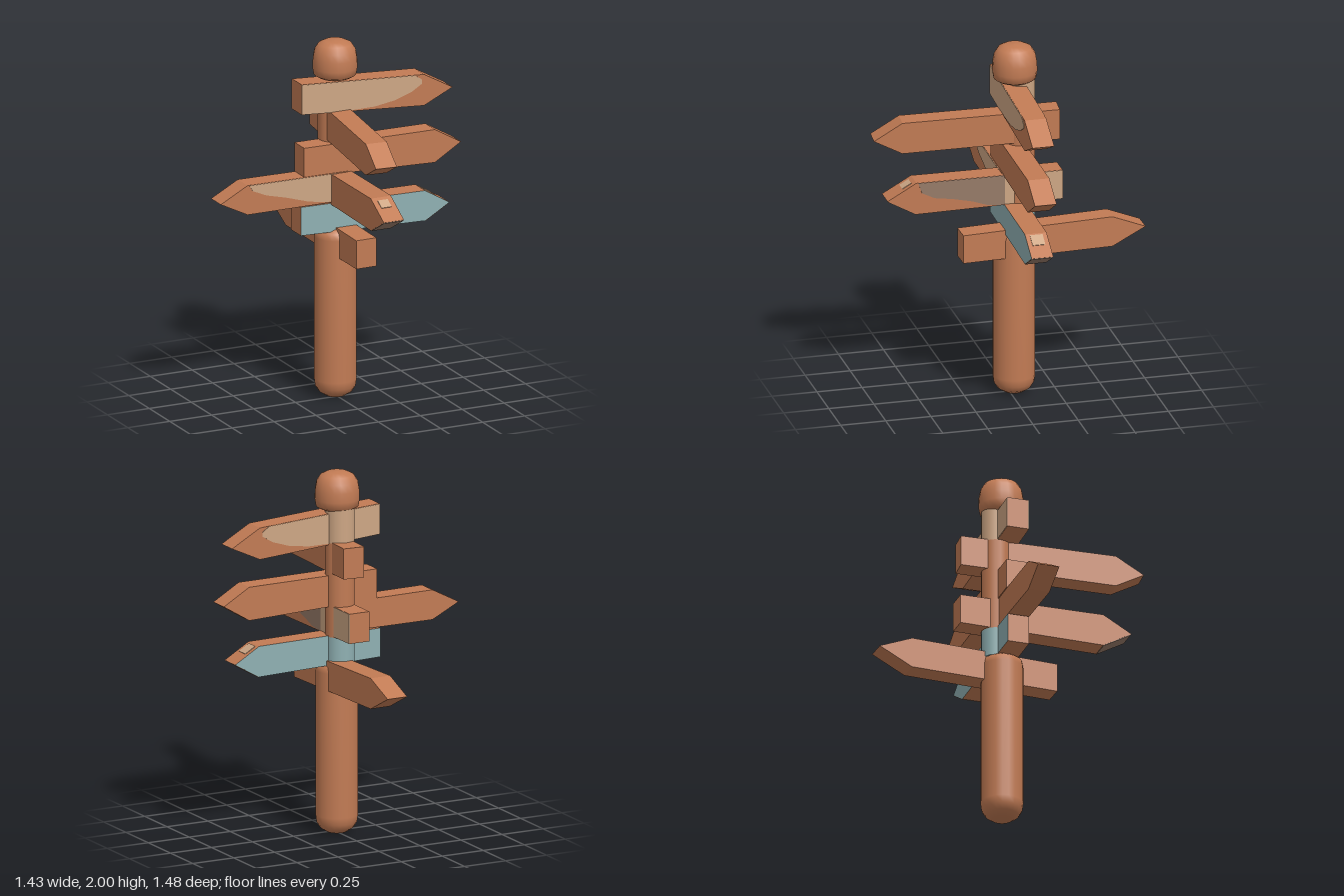
import * as THREE from 'three';

const paint = (name, color) => {
  const m = new THREE.MeshStandardMaterial({ color });
  m.name = name;
  return m;
};

export function createModel() {
  const wood = paint('terracotta wood', 0xc27b54);
  const tan = paint('worn tan', 0xcda684);
  const teal = paint('faded teal', 0x8fb0b2);
  const taupe = paint('dark taupe', 0x967a68);
  const model = new THREE.Group();
  model.name = 'signpost';
  const THICK = 0.12;

  const add = (parent, name, geometry, material, x = 0, y = 0, z = 0) => {
    const mesh = new THREE.Mesh(geometry, material);
    mesh.name = name;
    mesh.position.set(x, y, z);
    parent.add(mesh);
    return mesh;
  };
  const lathe = (pts) => new THREE.LatheGeometry(pts.map(([x, y]) => new THREE.Vector2(x, y)), 20);

  // Extruded outline centred on its thickness
  const slab = (pts, depth) => {
    const shape = new THREE.Shape(pts.map(([x, y]) => new THREE.Vector2(x, y)));
    const g = new THREE.ExtrudeGeometry(shape, { depth, bevelEnabled: false });
    return g.translate(0, 0, -depth / 2);
  };

  // Post: thick rounded base, thinner upper shaft, rounded cap
  add(model, 'lowerPost', lathe([[0, 0], [0.055, 0.005], [0.09, 0.028], [0.11, 0.06], [0.115, 0.1],
    [0.115, 0.9], [0.108, 0.935], [0.08, 0.955], [0, 0.955]]), wood, 0, 0, -0.025);
  const shaft = [[0.94, 1.1, teal], [1.1, 1.62, wood], [1.62, 1.82, tan]];
  for (const [y0, y1, material] of shaft) {
    add(model, 'upperPost', new THREE.CylinderGeometry(0.08, 0.08, y1 - y0, 16), material, 0, (y0 + y1) / 2, -0.06);
  }
  add(model, 'cap', lathe([[0, 1.795], [0.09, 1.795], [0.115, 1.81], [0.122, 1.85], [0.12, 1.9],
    [0.112, 1.945], [0.09, 1.98], [0.055, 1.997], [0, 2]]), wood, 0, 0, -0.03);

  // Arrow board: back edge, shoulder and tip given along the pointing direction
  const board = (name, angle, x, z, [u0, b0, t0], [u1, b1, t1], [u2, y2], face = wood) => {
    const group = new THREE.Group();
    group.name = name;
    group.position.set(x, 0, z);
    group.rotation.y = angle;
    model.add(group);
    add(group, name + 'Plank', slab([[u0, b0], [u1, b1], [u2, y2], [u1, t1], [u0, t0]], THICK), [face, wood]);
    return group;
  };
  // Thin paint patch on one broad face of a board
  const patch = (group, side, material, pts) =>
    add(group, 'paintPatch', slab(pts, 0.006), material, 0, 0, side * THICK / 2);
  // Thin paint strip along one narrow edge of a board
  const edgeStrip = (group, [ax, ay], [bx, by], width, material) => {
    const length = Math.hypot(bx - ax, by - ay);
    const strip = add(group, 'edgePaint', new THREE.BoxGeometry(length, 0.006, width), material,
      (ax + bx) / 2, (ay + by) / 2, 0);
    strip.rotation.z = Math.atan2(by - ay, bx - ax);
  };

  const Q = Math.PI / 2;

  // Boards pointing left (+x)
  const top = board('topBoard', 0, 0, -0.015, [-0.235, 1.63, 1.8], [0.495, 1.58, 1.755], [0.665, 1.66]);
  for (const side of [1, -1]) {
    patch(top, side, tan, [[-0.235, 1.632], [0, 1.615], [0.2, 1.617], [0.32, 1.635], [0.42, 1.668],
      [0.48, 1.705], [0.48, 1.73], [0.44, 1.757], [-0.235, 1.798]]);
  }
  board('middleBoard', 0, 0, -0.015, [-0.22, 1.275, 1.44], [0.56, 1.25, 1.435], [0.715, 1.345]);
  const tealBoard = board('tealBoard', 0, 0, -0.015, [-0.24, 0.95, 1.11], [0.5, 0.93, 1.1], [0.645, 1.015], teal);
  edgeStrip(tealBoard, [0.5, 0.93], [0.64, 1.012], 0.118, taupe);
  edgeStrip(tealBoard, [0.51, 1.095], [0.57, 1.059], 0.07, tan);

  // Board pointing right (-x), painted on its front
  const right = board('rightBoard', Math.PI, 0, -0.01, [-0.04, 1.115, 1.275], [0.56, 1.115, 1.28], [0.72, 1.195]);
  patch(right, -1, tan, [[0.03, 1.12], [0.1, 1.122], [0.2, 1.14], [0.33, 1.18], [0.45, 1.21],
    [0.53, 1.245], [0.55, 1.278], [0.03, 1.274]]);

  // Boards pointing forward (+z)
  board('upperFrontBoard', -Q - 0.094, 0, 0, [-0.265, 1.46, 1.63], [0.59, 1.43, 1.605], [0.745, 1.51]);
  const front = board('lowerFrontBoard', -Q, 0, 0, [-0.28, 1.105, 1.27], [0.53, 1.095, 1.275], [0.69, 1.185]);
  patch(front, -1, tan, [[-0.28, 1.106], [0.04, 1.102], [0.04, 1.27], [-0.28, 1.269]]);
  patch(front, -1, taupe, [[0.04, 1.102], [0.14, 1.112], [0.22, 1.14], [0.33, 1.165], [0.43, 1.18],
    [0.5, 1.215], [0.52, 1.274], [0.04, 1.271]]);
  edgeStrip(front, [0.53, 1.095], [0.685, 1.182], 0.118, taupe);
  edgeStrip(front, [0.55, 1.264], [0.6, 1.236], 0.06, tan);

  // Board pointing backward (-z)
  board('backBoard', Q + 0.02, 0.03, 0, [-0.28, 0.8, 0.96], [0.55, 0.81, 0.98], [0.735, 0.905]);

  return model;
}
